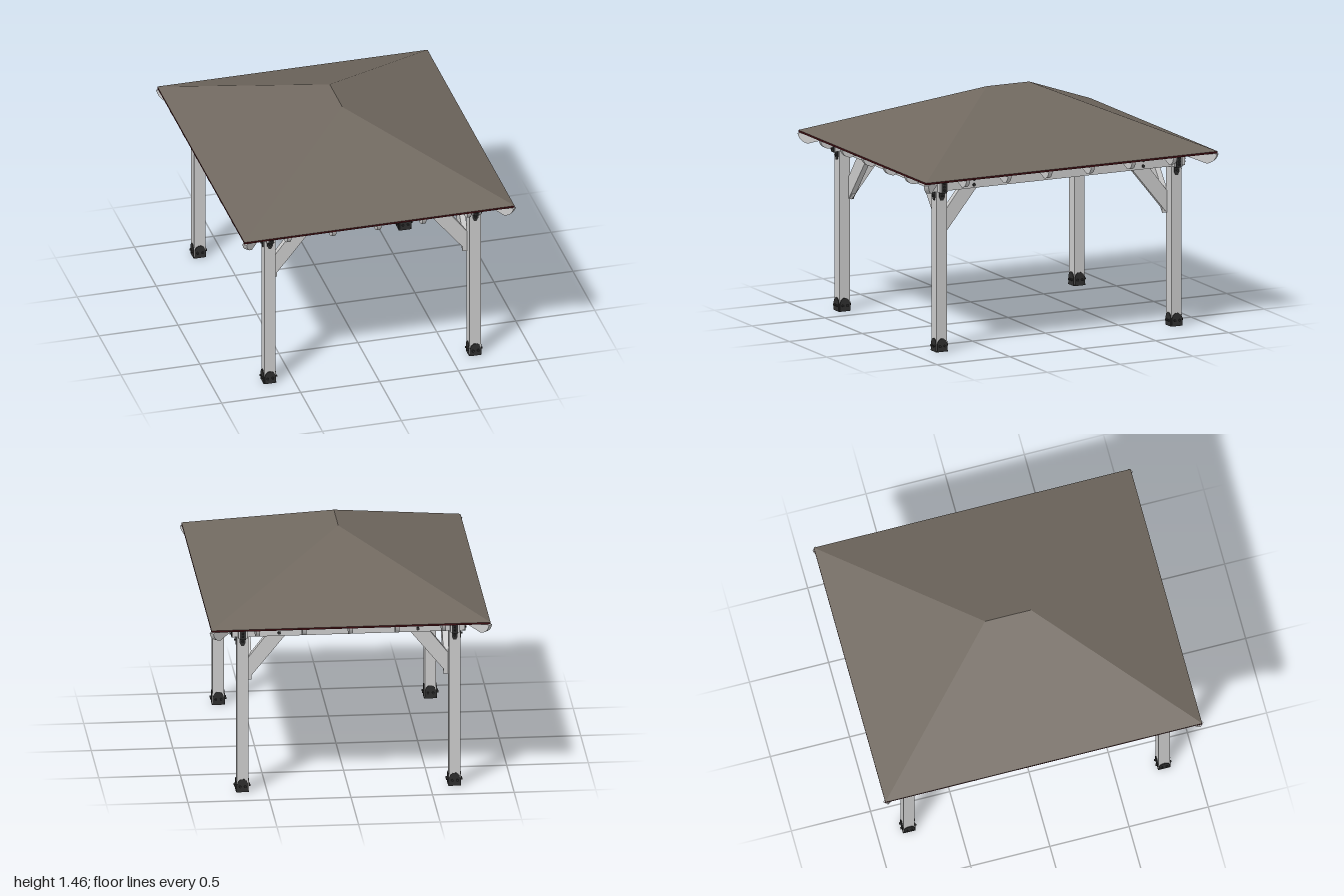
import * as THREE from 'three';

const mat = (color, side = THREE.FrontSide) =>
  new THREE.MeshStandardMaterial({ color, side, flatShading: true, roughness: 0.9 });
const wood = mat(0xcccccc), steel = mat(0x2e2e2e);
const shingle = mat(0x70685f), boards = mat(0x5a381a), trim = mat(0x3d0d11);

// Overall sizes: eave half extents, ridge half length, heights
const EX = 0.855, EZ = 1, RZ = 0.145, EAVE = 1.105, RIDGE = 1.46, SKIN = 0.012;
const SLOPE = (RIDGE - EAVE) / EX;
const PX = 0.65, PZ = 0.805, POST = 0.07, BEAM = 0.055;

function mesh(parent, name, geo, material, x = 0, y = 0, z = 0) {
  const m = new THREE.Mesh(geo, material);
  m.name = name;
  m.position.set(x, y, z);
  parent.add(m);
  return m;
}

const box = (parent, name, material, w, h, d, x, y, z) =>
  mesh(parent, name, new THREE.BoxGeometry(w, h, d), material, x, y, z);

function slab(shape, thickness) {
  const g = new THREE.ExtrudeGeometry(shape, { depth: thickness, bevelEnabled: false, curveSegments: 8 });
  return g.translate(0, 0, -thickness / 2);
}

const polygon = (pts) => new THREE.Shape(pts.map(([x, y]) => new THREE.Vector2(x, y)));

// Four sloping faces of a hipped roof
function hipGeometry(drop, down) {
  const y0 = EAVE - drop, y1 = RIDGE - drop;
  const a = [-EX, y0, EZ], b = [EX, y0, EZ], c = [EX, y0, -EZ], d = [-EX, y0, -EZ];
  const f = [0, y1, RZ], k = [0, y1, -RZ];
  const tris = [[a, b, f], [b, c, k], [b, k, f], [c, d, k], [d, a, f], [d, f, k]];
  const pos = tris.flatMap(([p, q, r]) => (down ? [p, r, q] : [p, q, r]).flat());
  const g = new THREE.BufferGeometry();
  g.setAttribute('position', new THREE.Float32BufferAttribute(pos, 3));
  g.computeVertexNormals();
  return g;
}

// Rafter with rounded tail, running from the eave along (dx, dz)
function addRafter(parent, name, x, z, dx, dz, run, slope, width, drop = 0) {
  const depth = 0.08, s = new THREE.Shape();
  s.moveTo(0, 0);
  s.quadraticCurveTo(0.012, -0.05, 0.065, 0.065 * slope - depth);
  s.lineTo(run, run * slope - depth);
  s.lineTo(run, run * slope);
  s.closePath();
  const m = mesh(parent, name, slab(s, width), wood, x, EAVE - SKIN - drop, z);
  m.rotation.y = Math.atan2(-dz, dx);
}

function addBolt(parent, name, r, length, material, x, y, z) {
  const g = new THREE.CylinderGeometry(r, r, length, 10).rotateX(Math.PI / 2);
  return mesh(parent, name, g, material, x, y, z);
}

// Diagonal brace, x runs inward from the post face
const braceGeo = slab(polygon([
  [0, 0.7], [0.245, 1.0], [0.27, 1.035], [0.255, 1.08], [0.188, 1.08], [0.125, 1.0], [0, 0.84],
]), 0.035);

function addBrace(parent, x, z, dx, dz) {
  const g = new THREE.Group();
  g.name = 'brace';
  g.position.set(x, 0, z);
  g.rotation.y = Math.atan2(-dz, dx);
  mesh(g, 'braceTimber', braceGeo, wood);
  for (const y of [1.02, 1.055]) addBolt(g, 'braceBolt', 0.01, 0.16, steel, 0.19, y, 0);
  const foot = addBolt(g, 'braceFootBolt', 0.007, 0.02, steel, 0.012, 0.71, 0);
  foot.rotation.set(Math.PI / 4, Math.PI / 2, 0, 'YXZ');
  parent.add(g);
}

// Steel plates, drawn facing +z
const basePlateGeo = slab(polygon([
  [-0.034, 0], [0.034, 0], [0.034, 0.05], [0.026, 0.07], [0.01, 0.082],
  [-0.01, 0.082], [-0.026, 0.07], [-0.034, 0.05],
]), 0.006);
const beamPlateGeo = slab(polygon([
  [-0.018, 0.995], [0.018, 0.995], [0.018, 1.07], [0.008, 1.09], [-0.008, 1.09], [-0.018, 1.07],
]), 0.005);
const postPlateGeo = slab(polygon([
  [-0.018, 1.0], [-0.018, 0.965], [-0.008, 0.945], [0.008, 0.945], [0.018, 0.965], [0.018, 1.0],
]), 0.005);

function addBaseSide(parent, angle) {
  const g = new THREE.Group();
  g.name = 'baseBracketSide';
  g.rotation.y = angle;
  mesh(g, 'basePlate', basePlateGeo, steel, 0, 0, POST / 2 + 0.002);
  for (const x of [-0.016, 0.016]) addBolt(g, 'baseBolt', 0.007, 0.014, steel, x, 0.036, POST / 2 + 0.008);
  parent.add(g);
}

function addTopBracket(parent, angle) {
  const g = new THREE.Group();
  g.name = 'topBracket';
  g.rotation.y = angle;
  mesh(g, 'beamEndPlate', beamPlateGeo, steel, 0, 0, 0.064);
  mesh(g, 'postTopPlate', postPlateGeo, steel, 0, 0, POST / 2 + 0.002);
  box(g, 'bracketLedge', steel, 0.036, 0.005, 0.032, 0, 0.998, 0.05);
  for (const y of [1.015, 1.035, 1.055]) addBolt(g, 'beamEndBolt', 0.006, 0.012, steel, 0, y, 0.07);
  addBolt(g, 'postTopBolt', 0.007, 0.014, steel, 0, 0.975, POST / 2 + 0.008);
  parent.add(g);
}

export function createModel() {
  const model = new THREE.Group();
  model.name = 'pavilion';

  // Roof skin, board lining and eave trim
  const roof = new THREE.Group();
  roof.name = 'roof';
  model.add(roof);
  mesh(roof, 'roofShingles', hipGeometry(0, false), shingle);
  mesh(roof, 'roofBoards', hipGeometry(SKIN, true), boards);
  for (const s of [-1, 1]) {
    box(roof, 'eaveTrim', trim, EX * 2, SKIN, 0.006, 0, EAVE - SKIN / 2, s * (EZ - 0.003));
    box(roof, 'eaveTrim', trim, 0.006, SKIN, EZ * 2, s * (EX - 0.003), EAVE - SKIN / 2, 0);
  }

  // Rafters, hips and ridge
  const frame = new THREE.Group();
  frame.name = 'rafters';
  model.add(frame);
  for (const s of [-1, 1]) {
    for (const x of [-0.57, -0.285, 0, 0.285, 0.57])
      addRafter(frame, 'endRafter', x, s * EZ, 0, -s, EX - Math.abs(x), SLOPE, 0.025);
    for (const z of [-0.71, -0.425, -RZ, RZ, 0.425, 0.71])
      addRafter(frame, 'sideRafter', s * EX, z, -s, 0, EZ - Math.abs(z), SLOPE, 0.025);
    for (const t of [-1, 1])
      addRafter(frame, 'hipRafter', s * EX, t * EZ, -s, -t, EX * Math.SQRT2, SLOPE / Math.SQRT2, 0.03, 0.005);
  }
  box(frame, 'ridgeBeam', wood, 0.03, 0.085, RZ * 2, 0, RIDGE - 0.06, 0);

  // Beams crossing over the posts
  for (const s of [-1, 1]) {
    box(model, 'endBeam', wood, 1.425, 0.1, BEAM, 0, 1.05, s * PZ);
    box(model, 'sideBeam', wood, BEAM, 0.1, 1.735, s * PX, 1.05, 0);
  }

  // Corners: post, steel hardware and braces
  const half = POST / 2, lap = (BEAM + 0.035) / 2;
  for (const sx of [-1, 1]) for (const sz of [-1, 1]) {
    const corner = new THREE.Group();
    corner.name = 'corner';
    corner.position.set(sx * PX, 0, sz * PZ);
    model.add(corner);
    box(corner, 'post', wood, POST, 1.0, POST, 0, 0.5, 0);
    box(corner, 'baseShoe', steel, POST + 0.008, 0.008, POST + 0.008, 0, 0.004, 0);
    for (let i = 0; i < 4; i++) addBaseSide(corner, i * Math.PI / 2);
    addTopBracket(corner, sx * Math.PI / 2);
    addTopBracket(corner, sz > 0 ? 0 : Math.PI);
    addBrace(corner, -sx * half, -sz * lap, -sx, 0);
    addBrace(corner, -sx * lap, -sz * half, 0, -sz);
  }
  return model;
}
